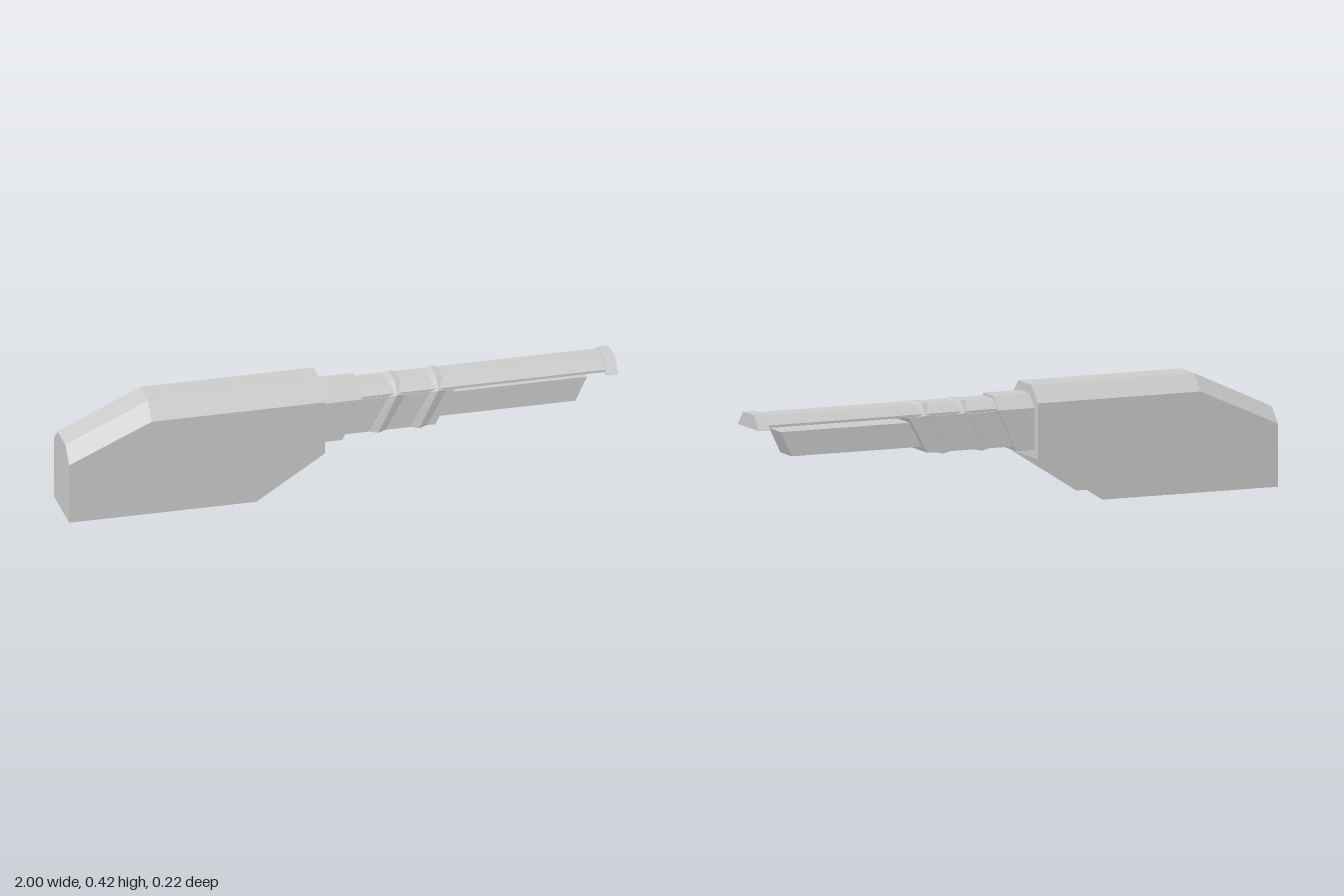
import * as THREE from 'three';

// Skin a row of mirrored sections running along +x.
// Each section lists [x, y, halfWidth] from bottom to top.
function loft(name, sections, openBottom = false) {
  const rings = sections.map((s) => [
    ...s.map(([x, y, w]) => [x, y, w]),
    ...[...s].reverse().map(([x, y, w]) => [x, y, -w]),
  ]);
  const n = rings[0].length;
  const pos = [];
  const tri = (a, b, c) => pos.push(...a, ...b, ...c);
  const sides = openBottom ? n - 1 : n;
  for (let s = 0; s < rings.length - 1; s++) {
    const a = rings[s], b = rings[s + 1];
    for (let i = 0; i < sides; i++) {
      const j = (i + 1) % n;
      tri(a[i], b[i], b[j]);
      tri(a[i], b[j], a[j]);
    }
  }
  // End caps, built as strips between the mirrored halves
  const first = rings[0], last = rings[rings.length - 1];
  for (let i = 0; i < n / 2 - 1; i++) {
    const k = n - 1 - i;
    tri(first[i], first[i + 1], first[k - 1]);
    tri(first[i], first[k - 1], first[k]);
    tri(last[i], last[k - 1], last[i + 1]);
    tri(last[i], last[k], last[k - 1]);
  }
  const geo = new THREE.BufferGeometry();
  geo.setAttribute('position', new THREE.Float32BufferAttribute(pos, 3));
  geo.computeVertexNormals();
  const mesh = new THREE.Mesh(geo, new THREE.MeshStandardMaterial({
    color: 0xcccccc, flatShading: true, side: THREE.DoubleSide,
  }));
  mesh.name = name;
  return mesh;
}

// Same upright profile ([y, halfWidth] pairs) at both ends
const prism = (name, x0, x1, profile) =>
  loft(name, [x0, x1].map((x) => profile.map(([y, w]) => [x, y, w])));

export function createModel() {
  const model = new THREE.Group();

  // Chamfered housing, hollow and open underneath
  const housing = [
    [-1, 0, 0.225, 0.28],
    [-0.7, 0, 0.36, 0.418],
    [-0.32, 0, 0.36, 0.418],
    [-0.07, 0.16, 0.36, 0.418],
  ].map(([x, bottom, shoulder, top]) => [
    [x, bottom, 0.11], [x, shoulder, 0.11], [x, top, 0.056],
  ]);
  model.add(loft('housing', housing, true));

  // Collar with a slanted front edge
  model.add(loft('collar', [
    [[-0.07, 0.19, 0.081], [-0.07, 0.34, 0.081], [-0.07, 0.386, 0.042]],
    [[0, 0.19, 0.081], [0.07, 0.34, 0.081], [0.07, 0.386, 0.042]],
  ]));

  // Slanted grip sleeve with two raised ribs
  const grip = [
    [-0.02, 0], [0.1, 0], [0.13, 1], [0.16, 0],
    [0.25, 0], [0.28, 1], [0.31, 0], [0.34, 0],
  ].map(([x, rib]) => [
    [x, 0.206 - rib * 0.006, 0.071 + rib * 0.006],
    [x + 0.07, 0.335 + rib * 0.004, 0.071 + rib * 0.006],
    [x + 0.07, 0.374 + rib * 0.007, 0.041 + rib * 0.003],
  ]);
  model.add(loft('gripSleeve', grip));

  // Long upper rail and its wider tip
  model.add(prism('upperRail', 0.05, 0.96, [[0.336, 0.071], [0.345, 0.071], [0.376, 0.041]]));
  model.add(prism('railTip', 0.957, 1, [[0.33, 0.089], [0.336, 0.085], [0.38, 0.046]]));

  // Square lower bar with a slanted end
  model.add(loft('lowerBar', [
    [[0.3, 0.225, 0.048], [0.34, 0.314, 0.048]],
    [[0.855, 0.225, 0.048], [0.897, 0.314, 0.048]],
  ]));

  return model;
}
